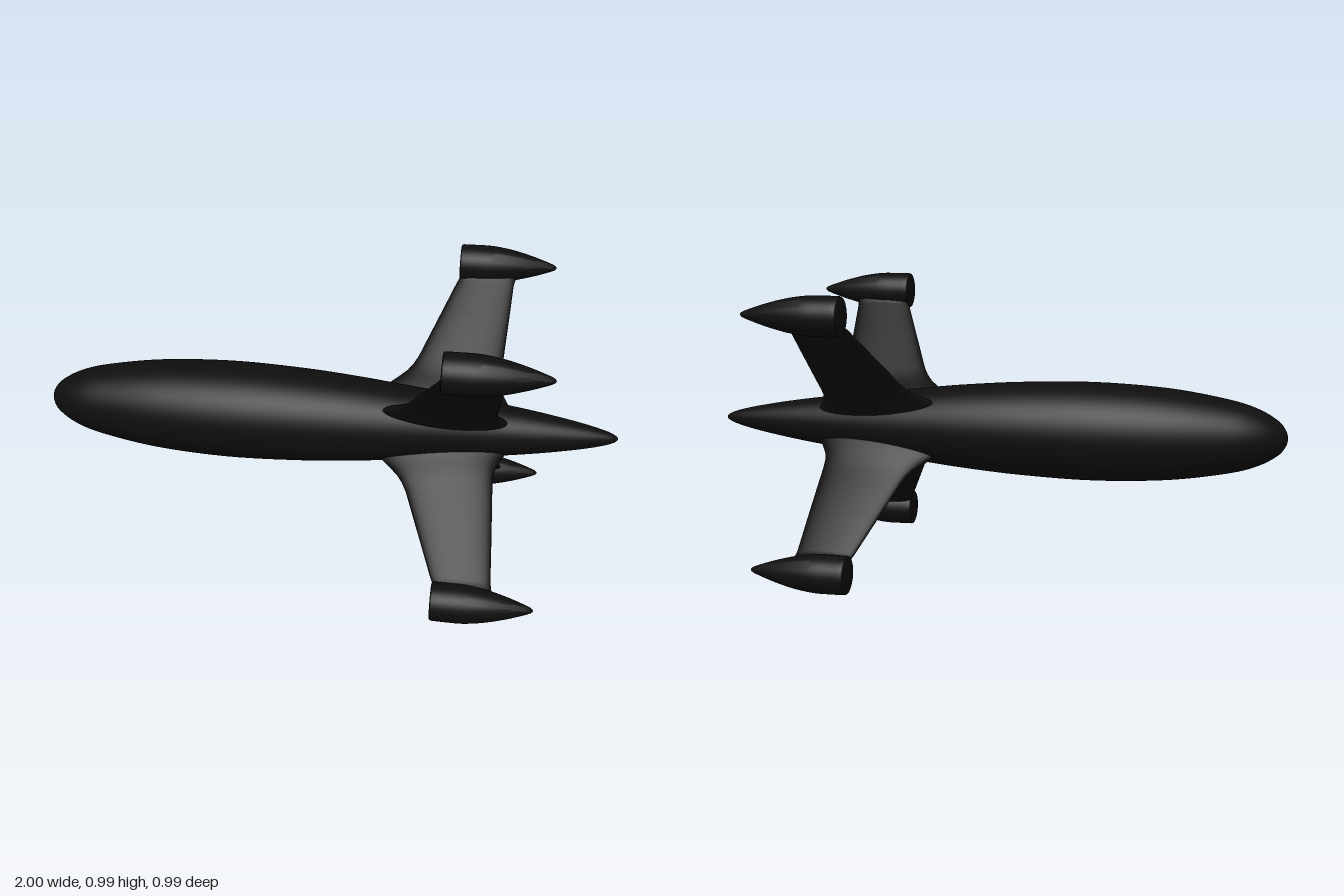
import * as THREE from 'three';
import { toCreasedNormals } from 'three/addons/utils/BufferGeometryUtils.js';

const CENTRE_Y = 0.497;

// Smooth curve through [x, radius] pairs, as points for a lathe
function smoothProfile(pairs, steps) {
  const curve = new THREE.SplineCurve(pairs.map(([x, r]) => new THREE.Vector2(r, x)));
  const points = curve.getPoints(steps);
  points.forEach((p) => { p.x = Math.max(0, p.x); });
  return points;
}

// Solid of revolution along the x axis
function turned(points, segments) {
  return new THREE.LatheGeometry(points, segments).rotateZ(-Math.PI / 2);
}

// Loft of rounded sections: each is [radial height, leading x, trailing x, thickness]
function finGeometry(sections, sides) {
  const position = [];
  const index = [];
  for (const [r, lead, trail, thick] of sections) {
    for (let i = 0; i < sides; i++) {
      const a = (i / sides) * Math.PI * 2;
      position.push(
        (lead + trail) / 2 + ((trail - lead) / 2) * Math.cos(a),
        r,
        (thick / 2) * Math.sin(a)
      );
    }
  }
  for (let j = 0; j < sections.length - 1; j++) {
    for (let i = 0; i < sides; i++) {
      const a = j * sides + i;
      const b = j * sides + ((i + 1) % sides);
      index.push(a, a + sides, b, b, a + sides, b + sides);
    }
  }
  const geometry = new THREE.BufferGeometry();
  geometry.setAttribute('position', new THREE.Float32BufferAttribute(position, 3));
  geometry.setIndex(index);
  geometry.computeVertexNormals();
  return geometry;
}

export function createModel() {
  const model = new THREE.Group();
  model.name = 'finnedVessel';
  const black = new THREE.MeshStandardMaterial({ color: 0x0e0e0e });
  black.name = 'black';

  const add = (parent, geometry, name) => {
    const mesh = new THREE.Mesh(geometry, black);
    mesh.name = name;
    parent.add(mesh);
  };

  const craft = new THREE.Group();
  craft.name = 'craft';
  craft.position.y = CENTRE_Y;
  model.add(craft);

  // Long teardrop hull, blunt nose at -x
  const hull = smoothProfile([
    [-1, 0], [-0.992, 0.028], [-0.965, 0.06], [-0.9, 0.097], [-0.8, 0.126],
    [-0.6, 0.157], [-0.35, 0.17], [-0.1, 0.163], [0.1, 0.148], [0.25, 0.132],
    [0.42, 0.113], [0.6, 0.09], [0.75, 0.068], [0.88, 0.044], [0.96, 0.024],
    [0.992, 0.01], [1, 0],
  ], 96);
  add(craft, turned(hull, 64), 'hull');

  // Swept fin with a flared root
  const fin = finGeometry([
    [0.06, 0.18, 0.64, 0.09], [0.11, 0.19, 0.61, 0.08], [0.14, 0.205, 0.595, 0.068],
    [0.165, 0.235, 0.59, 0.058], [0.19, 0.263, 0.59, 0.051], [0.215, 0.282, 0.591, 0.048],
    [0.245, 0.298, 0.593, 0.046], [0.4, 0.358, 0.602, 0.038], [0.53, 0.408, 0.609, 0.03],
    [0.545, 0.415, 0.612, 0.034], [0.565, 0.418, 0.616, 0.046],
  ], 32);

  // Tip pod: flat front with a softened rim, pointed tail
  const tail = smoothProfile([
    [0.422, 0.065], [0.47, 0.0655], [0.53, 0.0645], [0.6, 0.054],
    [0.67, 0.036], [0.73, 0.016], [0.75, 0.007], [0.755, 0],
  ], 36);
  const front = [[0, 0.415], [0.058, 0.415], [0.063, 0.417]]
    .map(([r, x]) => new THREE.Vector2(r, x));
  const pod = toCreasedNormals(turned([...front, ...tail], 40), 0.6);

  // Four fins in an X around the hull
  for (let k = 0; k < 4; k++) {
    const arm = new THREE.Group();
    arm.name = 'finAssembly' + (k + 1);
    arm.rotation.x = Math.PI / 4 + (k * Math.PI) / 2;
    craft.add(arm);
    add(arm, fin, 'fin');
    add(arm, pod, 'tipPod');
    arm.children[1].position.y = 0.608;
  }
  return model;
}
